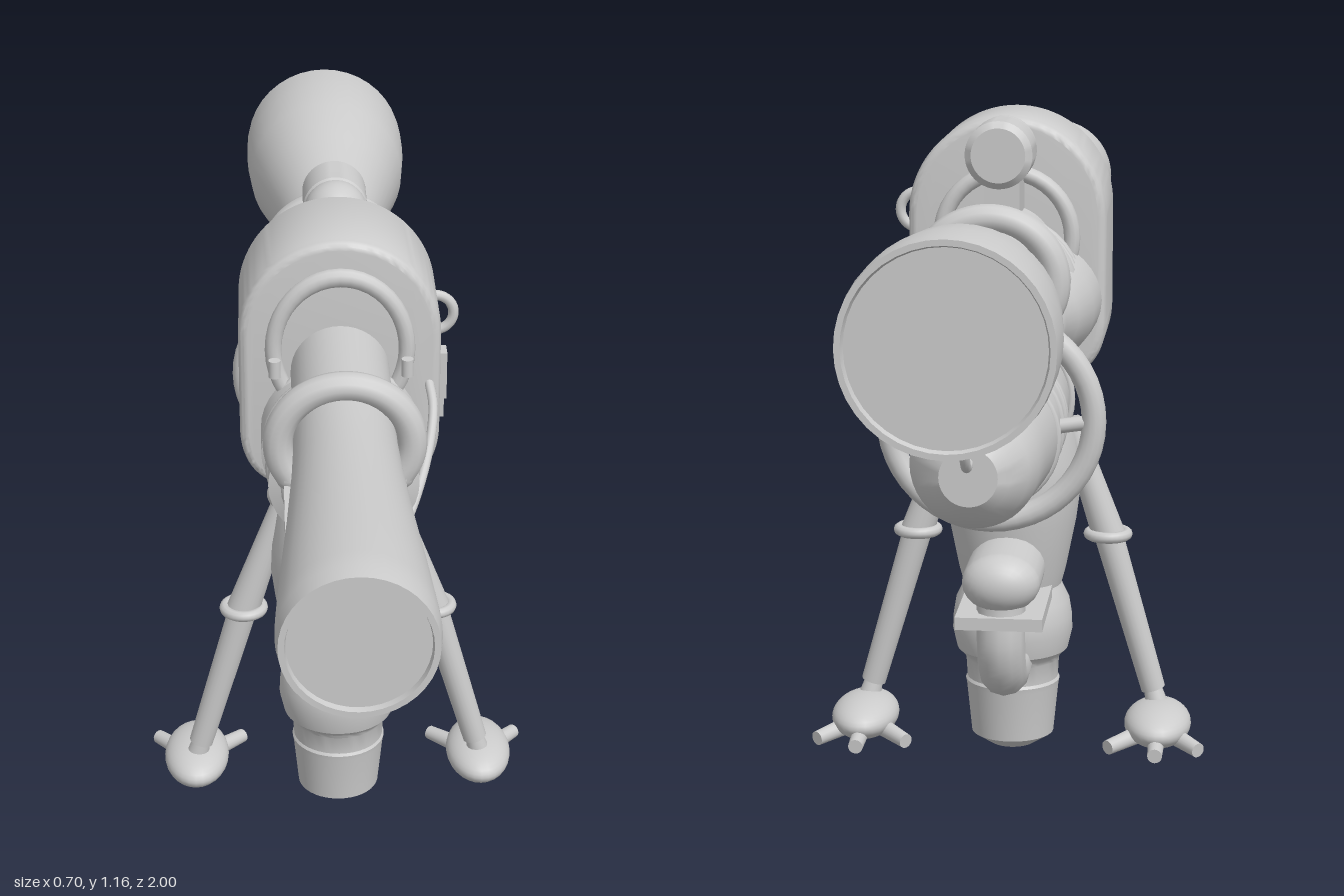
import * as THREE from 'three';
import { toCreasedNormals } from 'three/addons/utils/BufferGeometryUtils.js';

export function createModel() {
  const model = new THREE.Group();
  const grey = new THREE.MeshStandardMaterial({ color: 0xcccccc });
  grey.name = 'plain grey';

  const V = (x, y, z) => new THREE.Vector3(x, y, z);
  function add(name, geo, x = 0, y = 0, z = 0, parent = model) {
    const m = new THREE.Mesh(geo, grey);
    m.name = name;
    m.position.set(x, y, z);
    parent.add(m);
    return m;
  }
  // Turned solid; profile is [radius, height] pairs in rising order
  const turned = (pts, seg = 40) => toCreasedNormals(
    new THREE.LatheGeometry(pts.map(p => new THREE.Vector2(p[0], p[1])), seg), 0.5);
  // Same, with its axis along z, stretched sideways by sx
  const alongZ = (pts, sx = 1) => {
    const g = new THREE.LatheGeometry(pts.map(p => new THREE.Vector2(p[0], p[1])), 40);
    g.rotateX(Math.PI / 2).scale(sx, 1, 1);
    return toCreasedNormals(g, 0.5);
  };
  const tube = (pts, r, seg = 24) => new THREE.TubeGeometry(new THREE.CatmullRomCurve3(pts), seg, r, 12);
  const rod = (name, a, b, r0, r1, parent = model) => {
    const d = b.clone().sub(a);
    const m = add(name, new THREE.CylinderGeometry(r1, r0, d.length(), 20), 0, 0, 0, parent);
    m.position.copy(a).addScaledVector(d, 0.5);
    m.quaternion.setFromUnitVectors(V(0, 1, 0), d.normalize());
    return m;
  };

  // Long flared barrel, shallow recess at each end
  add('barrel', alongZ([
    [0, -0.985], [0.143, -0.985], [0.146, -0.995], [0.155, -0.995], [0.157, -0.97], [0.157, -0.9],
    [0.149, -0.8], [0.125, -0.7], [0.1, -0.59], [0.086, -0.5], [0.083, -0.4], [0.083, 0.4],
    [0.087, 0.5], [0.097, 0.66], [0.109, 0.82], [0.116, 0.93], [0.117, 0.97], [0.113, 1], [0.104, 1],
    [0.102, 0.99], [0, 0.99]]), 0, 0.922, 0);

  // Open clamps over the barrel
  for (const z of [0.375, -0.405]) {
    const arc = [];
    for (let i = 0; i <= 16; i++) {
      const a = -0.6 + (Math.PI + 1.2) * i / 16;
      arc.push(V(0.107 * Math.cos(a), 0.922 + 0.1 * Math.sin(a), z));
    }
    add('barrelClamp', tube(arc, 0.024, 48));
    for (const p of [arc[0], arc[16]]) add('clampEnd', new THREE.SphereGeometry(0.024, 16, 12), p.x, p.y, p.z);
  }

  // Central housing with rounded outline
  const s = new THREE.Shape();
  s.moveTo(-0.09, 0.715);
  s.lineTo(0.09, 0.715);
  s.quadraticCurveTo(0.155, 0.73, 0.155, 0.81);
  s.lineTo(0.155, 0.985);
  s.absarc(0, 0.985, 0.155, 0, Math.PI, false);
  s.lineTo(-0.155, 0.81);
  s.quadraticCurveTo(-0.155, 0.73, -0.09, 0.715);
  const housing = new THREE.ExtrudeGeometry(s, {
    depth: 0.18, bevelEnabled: true, bevelSize: 0.015, bevelThickness: 0.018, bevelSegments: 4, curveSegments: 24 });
  add('housing', toCreasedNormals(housing, 0.6), 0, 0, -0.09);
  add('housingCollar', new THREE.TorusGeometry(0.112, 0.014, 12, 40), 0, 0.965, 0.112).scale.y = 1.15;
  add('rearCollar', new THREE.TorusGeometry(0.112, 0.014, 12, 40), 0, 0.95, -0.112);

  // Controls on the left wall
  const hook = new THREE.TorusGeometry(0.032, 0.009, 10, 20, Math.PI);
  add('sideLoop', hook.rotateZ(-Math.PI / 2), 0.165, 0.98, 0);
  add('sideSlider', new THREE.BoxGeometry(0.022, 0.085, 0.034), 0.172, 0.892, 0.052);
  add('sideButton', new THREE.BoxGeometry(0.022, 0.042, 0.018), 0.172, 0.808, 0.002);

  // Sight on top
  add('sightBody', new THREE.SphereGeometry(0.055, 24, 18), 0, 1.105, -0.15).scale.z = 1.1;
  add('sightEyepiece', alongZ([[0, -0.26], [0.045, -0.26], [0.056, -0.25], [0.056, -0.17], [0.045, -0.15], [0, -0.15]]), 0, 1.105, 0);
  add('sightMount', new THREE.BoxGeometry(0.06, 0.07, 0.1), 0, 1.035, -0.15);

  // Stepped unit below the front of the barrel
  add('frontUnit', alongZ([
    [0, 0.1], [0.12, 0.1], [0.12, 0.2], [0.103, 0.21], [0.103, 0.25], [0.11, 0.26], [0.11, 0.32], [0.085, 0.33],
    [0.08, 0.48], [0.074, 0.5], [0.066, 0.56], [0.05, 0.575], [0.05, 0.655], [0.042, 0.66], [0.04, 0.645],
    [0, 0.645]], 1.12), 0, 0.818, 0);
  [[0.13, 0.122], [0.17, 0.13], [0.225, 0.115], [0.265, 0.125], [0.3, 0.118], [0.34, 0.1], [0.49, 0.078], [0.57, 0.058]]
    .forEach(([z, r], i) => {
      const ring = add('frontRing', new THREE.TorusGeometry(r - 0.006, 0.009, 10, 36), 0, 0.825, z);
      if (i < 5) ring.rotation.x = i % 2 ? 0.12 : -0.12;
    });
  for (const side of [-1, 1]) {
    add('undersideKnob', new THREE.SphereGeometry(0.026, 18, 14), side * 0.1, 0.718, 0.16);
    rod('undersideRail', V(side * 0.06, 0.715, 0.12), V(side * 0.05, 0.722, 0.4), 0.014, 0.014);
    rod('railPeg', V(side * 0.06, 0.695, 0.34), V(side * 0.06, 0.75, 0.34), 0.013, 0.013);
    add('sideRail', new THREE.BoxGeometry(0.012, 0.035, 0.2), side * 0.092, 0.84, 0.44);
    rod('sidePeg', V(side * 0.11, 0.94, 0.165), V(side * 0.11, 0.97, 0.165), 0.01, 0.01);
  }
  add('frontCable', tube([V(0.15, 0.9, 0.1), V(0.155, 0.87, 0.15), V(0.135, 0.8, 0.24), V(0.09, 0.73, 0.33), V(0.05, 0.71, 0.36)], 0.008));

  // Wide unit below the rear of the barrel
  add('rearUnit', alongZ([
    [0, -0.65], [0.066, -0.65], [0.07, -0.64], [0.082, -0.58], [0.086, -0.5], [0.087, -0.32], [0.1, -0.28],
    [0.115, -0.2], [0.12, -0.1], [0, -0.1]], 1.36), 0, 0.842, 0);
  add('rearUnitRim', alongZ([[0, -0.655], [0.076, -0.655], [0.08, -0.65], [0.08, -0.615], [0.076, -0.61], [0, -0.61]], 1.5), 0, 0.838, 0);
  add('rearFunnel', alongZ([[0, -0.31], [0.07, -0.31], [0.08, -0.29], [0.128, -0.22], [0.13, -0.205], [0.11, -0.2], [0, -0.2]]), 0, 0.87, 0);
  for (const [z, r, tilt] of [[-0.15, 0.125, 0.1], [-0.185, 0.125, 0.2], [-0.25, 0.118, 0.15], [-0.285, 0.112, 0], [-0.315, 0.105, 0]])
    add('rearRing', new THREE.TorusGeometry(r, 0.01, 10, 36), 0, 0.86, z).rotation.x = tilt;

  // Tank under the rear
  add('tank', alongZ([
    [0, -0.715], [0.045, -0.715], [0.062, -0.7], [0.088, -0.665], [0.1, -0.63], [0.105, -0.56], [0.114, -0.45],
    [0.115, -0.3], [0.111, -0.14], [0.1, -0.1], [0.07, -0.04], [0.045, 0], [0, 0]]), 0, 0.674, 0);
  for (const z of [-0.13, -0.285, -0.305, -0.36, -0.44])
    add('tankBand', new THREE.TorusGeometry(0.113, 0.007, 10, 40), 0, 0.674, z);
  add('tankHoop', new THREE.TorusGeometry(0.168, 0.02, 14, 48), 0, 0.69, -0.38);
  for (const a of [0, Math.PI / 2, Math.PI, -Math.PI / 2]) {
    const c = Math.cos(a), n = Math.sin(a);
    rod('hoopSpoke', V(0.1 * c, 0.68 + 0.1 * n, -0.38), V(0.165 * c, 0.69 + 0.165 * n, -0.38), 0.012, 0.012);
  }
  add('tankCable', tube([V(0, 0.7, -0.7), V(0, 0.695, -0.735), V(0, 0.72, -0.76), V(0, 0.79, -0.765)], 0.008));

  // Central post
  add('post', turned([
    [0, 0], [0.04, 0.008], [0.074, 0.03], [0.083, 0.12], [0.085, 0.13], [0.082, 0.135], [0.084, 0.17], [0.088, 0.178],
    [0.1, 0.19], [0.108, 0.225], [0.107, 0.25], [0.102, 0.28], [0.09, 0.305], [0.088, 0.31], [0.096, 0.34],
    [0.114, 0.43], [0.122, 0.49], [0.121, 0.54], [0.109, 0.61], [0.094, 0.66], [0.09, 0.668], [0.092, 0.675],
    [0.092, 0.7], [0, 0.7]]));
  const neck = new THREE.TorusGeometry(0.086, 0.012, 12, 36).rotateX(Math.PI / 2);
  add('postNeckBand', neck, 0, 0.662, 0);

  // Hooked grip behind the post
  add('gripHook', tube([V(0, 0.18, -0.06), V(0, 0.182, -0.13), V(0, 0.205, -0.19), V(0, 0.25, -0.215), V(0, 0.33, -0.215)], 0.042));
  add('gripPlate', new THREE.BoxGeometry(0.15, 0.022, 0.22), 0, 0.307, -0.155);
  const pad = new THREE.CapsuleGeometry(0.052, 0.1, 8, 24).rotateX(Math.PI / 2);
  add('gripPad', pad, 0, 0.368, -0.165).scale.x = 1.3;

  // Legs and feet
  for (const side of [-1, 1]) {
    const leg = new THREE.Group();
    leg.name = side > 0 ? 'leftLeg' : 'rightLeg';
    model.add(leg);
    rod('upperLeg', V(side * 0.1, 0.61, 0), V(side * 0.172, 0.4, 0), 0.02, 0.03, leg);
    rod('lowerLeg', V(side * 0.172, 0.4, 0), V(side * 0.255, 0.115, 0), 0.026, 0.022, leg);
    rod('ankle', V(side * 0.252, 0.125, 0), V(side * 0.265, 0.075, -0.005), 0.015, 0.022, leg);
    const collar = new THREE.TorusGeometry(0.034, 0.01, 10, 28).rotateX(Math.PI / 2);
    add('legCollar', collar, side * 0.171, 0.402, 0, leg);
    add('foot', new THREE.SphereGeometry(1, 28, 18), side * 0.265, 0.063, -0.035, leg).scale.set(0.06, 0.037, 0.1);
    for (const [dx, z] of [[0.075, -0.125], [-0.085, -0.125], [0, -0.163]])
      rod('toe', V(side * (0.265 + dx * 0.4), 0.05, -0.07), V(side * (0.265 + dx), 0.043, z), 0.016, 0.013, leg);
  }
  return model;
}
